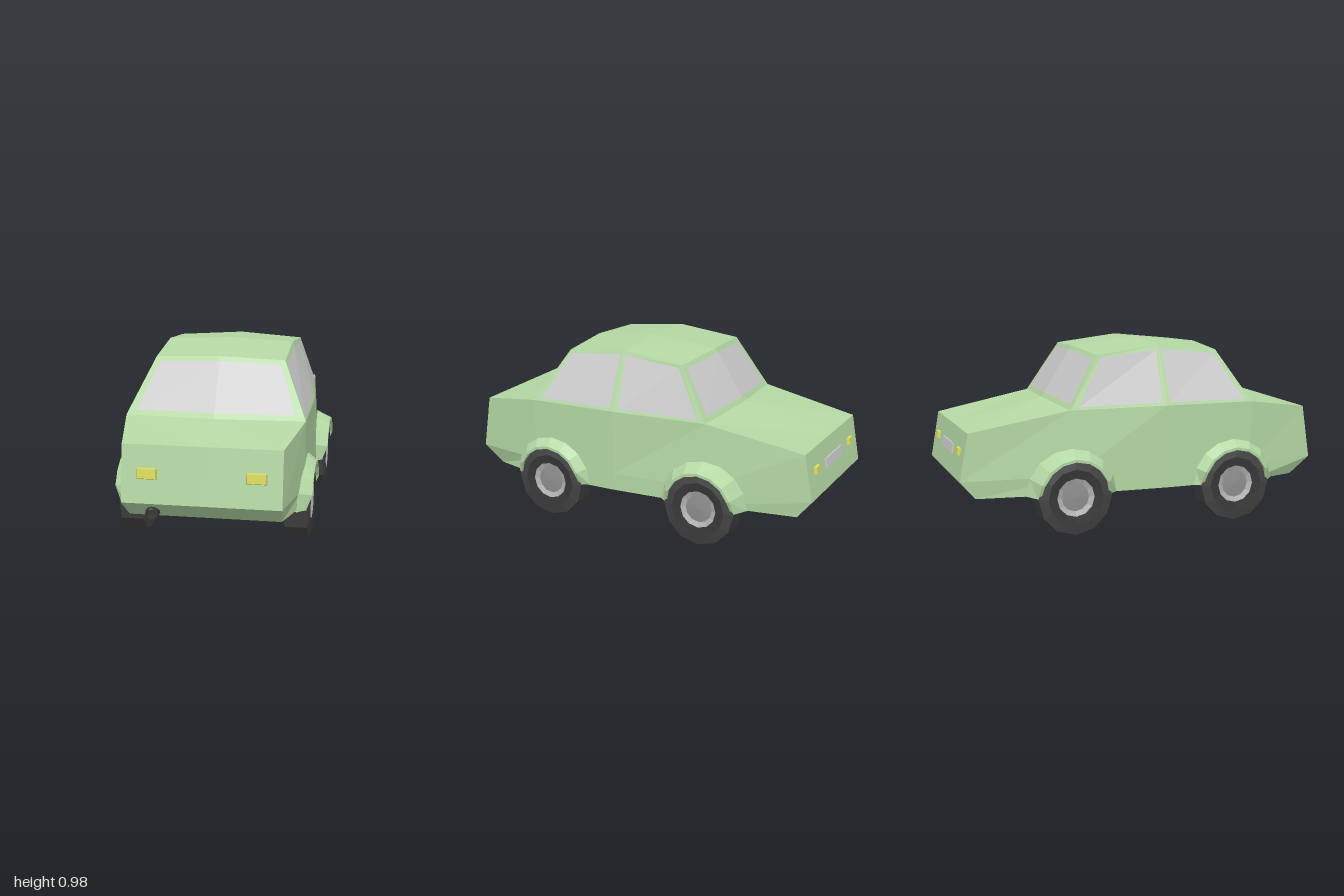
import * as THREE from 'three';

const paint = (color, side = THREE.FrontSide) => new THREE.MeshStandardMaterial({ color, side, flatShading: true });
const green = paint(0xb4d8a4), greenThin = paint(0xb4d8a4, THREE.DoubleSide), glass = paint(0xcccccc);
const yellow = paint(0xd8d85c), rubber = paint(0x444444), darkRubber = paint(0x383838);
const rimGrey = paint(0xb4b4b4), hubGrey = paint(0x909090);

// Mesh from quads (corners counter-clockwise), optionally mirrored across x = 0
function quadMesh(name, quads, material, mirror = true) {
  const pos = [];
  const put = (a, b, c, d) => [a, b, c, a, c, d].forEach(p => pos.push(...p));
  for (const q of quads) {
    put(...q);
    if (mirror) put(...[...q].reverse().map(([x, y, z]) => [-x, y, z]));
  }
  const geo = new THREE.BufferGeometry();
  geo.setAttribute('position', new THREE.Float32BufferAttribute(pos, 3));
  geo.computeVertexNormals();
  const mesh = new THREE.Mesh(geo, material);
  mesh.name = name;
  return mesh;
}

// Quads joining two rows of points
const strip = (low, high) => low.slice(1).map((p, i) => [low[i], p, high[i + 1], high[i]]);
const centre = ([, y, z]) => [0, y, z];

// Body rows on the left side, stations running from +z to -z
const sill = [[.385, .205, .89], [.467, .205, .6], [.467, .205, .1], [.44, .205, -.42], [.365, .205, -.92]];
const waist = [[.4, .3, 1], [.467, .3, .6], [.467, .3, .1], [.44, .3, -.42], [.367, .3, -1]];
const belt = [[.4, .59, .955], [.467, .645, .6], [.467, .65, .1], [.415, .645, -.42], [.37, .55, -.955]];
const ridge = [[0, .59, .955], [0, .648, .64], null, [0, .66, -.455], [0, .55, -.955]];
const roofEdge = [[.34, .923, .435], [.34, .96, .1], [.345, .92, -.25]];
const roofRidge = [[0, .938, .455], [0, .975, .1], [0, .938, -.28]];

// Half width of the body at a given z
function bodyX(z) {
  for (let i = 0; i < 4; i++) {
    const [a, b] = [waist[i], waist[i + 1]];
    if (z <= a[2] && z >= b[2]) return THREE.MathUtils.mapLinear(z, a[2], b[2], a[0], b[0]);
  }
  return .4;
}

function bodyShell() {
  const rows = [sill, waist, belt];
  const quads = [...strip(sill.map(centre), sill), ...strip(sill, waist), ...strip(waist, belt)];
  for (let r = 0; r < 2; r++) {
    const lo = rows[r], hi = rows[r + 1];
    quads.push([centre(lo[0]), lo[0], hi[0], centre(hi[0])]);
    quads.push([lo[4], centre(lo[4]), centre(hi[4]), hi[4]]);
  }
  for (const i of [0, 3]) quads.push([belt[i], belt[i + 1], ridge[i + 1], ridge[i]]);
  return quadMesh('bodyShell', quads, green);
}

// Panel with a window opening: painted frame around a glass pane
function windowPanel(name, [a, b, c, d], u0, u1, v0, v1) {
  const [A, B, C, D] = [a, b, c, d].map(p => new THREE.Vector3(...p));
  const at = (u, v) => A.clone().lerp(B, u).lerp(D.clone().lerp(C, u), v).toArray();
  const inner = [at(u0, v0), at(u1, v0), at(u1, v1), at(u0, v1)];
  const frame = [[a, b, inner[1], inner[0]], [inner[3], inner[2], c, d]];
  if (u0 > 0) frame.push([a, inner[0], inner[3], d]);
  if (u1 < 1) frame.push([inner[1], b, c, inner[2]]);
  const group = new THREE.Group();
  group.name = name;
  group.add(quadMesh(name + 'Frame', frame, green), quadMesh(name + 'Glass', [inner], glass));
  return group;
}

// Flared arch around a wheel centred at z = c
function wheelArch(c) {
  const rows = [[], [], [], []], n = 8;
  for (let i = 0; i <= n; i++) {
    const t = Math.PI * i / n, lipX = i === 0 || i === n ? .485 : .515;
    const at = (r, x) => {
      const z = c + r * Math.cos(t);
      return [x ?? bodyX(z) - .004, .205 + r * Math.sin(t), z];
    };
    [at(.185, .4), at(.185, lipX), at(.2, lipX), at(.242)].forEach((p, k) => rows[k].push(p));
  }
  const quads = rows.slice(1).flatMap((row, k) => strip(rows[k], row));
  for (const i of [0, n]) quads.push(rows.map(row => row[i]));
  return quadMesh('wheelArches', quads, greenThin);
}

// Turned part whose axis points along +x
function turned(name, profile, material) {
  const geo = new THREE.LatheGeometry(profile.map(p => new THREE.Vector2(...p)), 12);
  const mesh = new THREE.Mesh(geo.rotateZ(-Math.PI / 2), material);
  mesh.name = name;
  return mesh;
}

function wheel(side, z) {
  const group = new THREE.Group();
  group.name = 'wheel';
  group.add(
    turned('tyre', [[0, -.06], [.2, -.06], [.2, .06], [.15, .073]], rubber),
    turned('tyreWall', [[.15, .073], [.102, .066]], darkRubber),
    turned('rim', [[.102, .066], [.075, .055]], rimGrey),
    turned('hub', [[.075, .055], [0, .06]], hubGrey));
  group.position.set(side * .43, .2, z);
  if (side < 0) group.rotation.y = Math.PI;
  return group;
}

// Box whose +z face is smaller, giving a bevelled rim
function bevelBox(name, w, h, d, material) {
  const geo = new THREE.BoxGeometry(w, h, d), p = geo.attributes.position;
  for (let i = 0; i < p.count; i++) {
    if (p.getZ(i) > 0) p.setXY(i, p.getX(i) * (1 - .024 / w), p.getY(i) * (1 - .018 / h));
  }
  const mesh = new THREE.Mesh(geo, material);
  mesh.name = name;
  return mesh;
}

export function createModel() {
  const car = new THREE.Group();
  car.name = 'car';
  car.add(bodyShell(), quadMesh('roof', strip(roofEdge, roofRidge), green));

  // Windows
  car.add(
    windowPanel('frontScreen', [ridge[1], belt[1], roofEdge[0], roofRidge[0]], 0, .91, .09, .92),
    windowPanel('backScreen', [belt[3], ridge[3], roofRidge[2], roofEdge[2]], .09, 1, .09, .92),
    windowPanel('frontSideWindow', [belt[1], belt[2], roofEdge[1], roofEdge[0]], .07, .955, .05, .93),
    windowPanel('backSideWindow', [belt[2], belt[3], roofEdge[2], roofEdge[1]], .045, .92, .05, .93));

  // Arches and wheels
  for (const z of [.495, -.42]) {
    car.add(wheelArch(z));
    for (const side of [1, -1]) car.add(wheel(side, z));
  }

  // Lamps at both ends
  for (const side of [1, -1]) {
    const front = bevelBox('frontLamp', .115, .065, .03, yellow);
    front.position.set(side * .272, .448, .977);
    front.rotation.x = -.15;
    const back = bevelBox('backLamp', .07, .05, .024, yellow);
    back.position.set(side * .255, .44, -.977);
    back.rotation.set(.18, Math.PI, 0, 'XYZ');
    car.add(front, back);
  }

  // Grille
  const grille = new THREE.Mesh(new THREE.BoxGeometry(.25, .05, .016), glass);
  grille.name = 'grille';
  grille.position.set(0, .43, -.977);
  grille.rotation.x = .18;
  car.add(grille);

  // Exhaust pipe with a hollow end
  const pipe = turned('exhaustPipe', [[0, -.1], [.033, -.1], [.033, .06], [.027, .06], [.027, .02], [0, .02]], darkRubber);
  pipe.rotation.y = -Math.PI / 2;
  pipe.position.set(-.25, .245, .925);
  car.add(pipe);
  return car;
}
